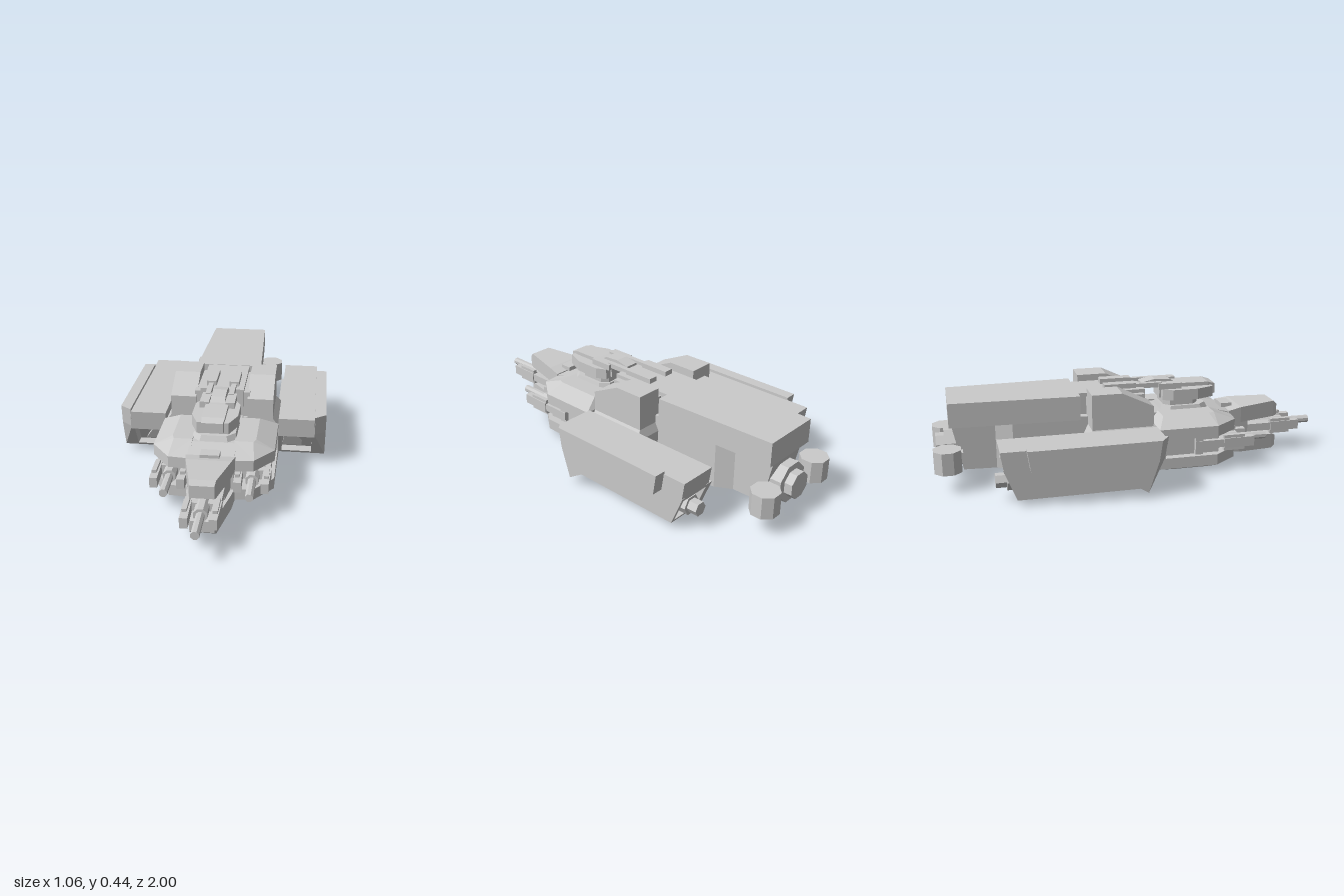
import * as THREE from 'three';

const material = new THREE.MeshStandardMaterial({ color: 0xcccccc, flatShading: true, side: THREE.DoubleSide });

// Solid skin over matching rings of [x, y, z] points, with flat caps
function loft(rings) {
  const out = [], n = rings[0].length;
  const tri = (a, b, c) => out.push(a, b, c);
  for (let r = 0; r + 1 < rings.length; r++) {
    for (let i = 0; i < n; i++) {
      const j = (i + 1) % n, A = rings[r], B = rings[r + 1];
      tri(A[i], A[j], B[j]);
      tri(A[i], B[j], B[i]);
    }
  }
  const last = rings[rings.length - 1];
  const flat = THREE.ShapeUtils.triangulateShape(project(rings[0]), []);
  for (const [a, b, c] of flat) {
    tri(rings[0][c], rings[0][b], rings[0][a]);
    tri(last[a], last[b], last[c]);
  }
  // Turn the faces outward
  const v = out.map(p => new THREE.Vector3(...p));
  let volume = 0;
  for (let i = 0; i < v.length; i += 3) volume += v[i].dot(v[i + 1].clone().cross(v[i + 2]));
  if (volume < 0) for (let i = 0; i < v.length; i += 3) [v[i + 1], v[i + 2]] = [v[i + 2], v[i + 1]];
  const g = new THREE.BufferGeometry().setFromPoints(v);
  g.computeVertexNormals();
  return g;
}

// Drops the axis with the least spread, keeping loop winding counter-clockwise
function project(ring) {
  const spread = k => Math.max(...ring.map(p => p[k])) - Math.min(...ring.map(p => p[k]));
  const s = [0, 1, 2].map(spread), drop = s.indexOf(Math.min(...s));
  const [a, b] = [0, 1, 2].filter(k => k !== drop);
  const pts = ring.map(p => new THREE.Vector2(p[a], p[b]));
  if (THREE.ShapeUtils.isClockWise(pts)) ring.reverseNeeded = true;
  return pts;
}

export function createModel() {
  const ship = new THREE.Group();
  ship.name = 'ship';

  const add = (name, geometry) => {
    const m = new THREE.Mesh(geometry, material);
    m.name = name;
    ship.add(m);
    return m;
  };
  const box = (name, x0, x1, y0, y1, z0, z1) => {
    const m = add(name, new THREE.BoxGeometry(Math.abs(x1 - x0), y1 - y0, Math.abs(z1 - z0)));
    m.position.set((x0 + x1) / 2, (y0 + y1) / 2, (z0 + z1) / 2);
  };
  // Side profile of [z, y] points, spanning x0 to x1
  const slab = (name, x0, x1, pts) => add(name, loft([x0, x1].map(x => pts.map(([z, y]) => [x, y, z]))));
  // Stack of plan outlines: each layer is [y, [[x, z], ...]]
  const stack = (name, layers) => add(name, loft(layers.map(([y, pts]) => pts.map(([x, z]) => [x, y, z]))));
  // Rows of rectangles along z: [z, half width, bottom, top]
  const beam = (name, rows) =>
    add(name, loft(rows.map(([z, w, b, t]) => [[-w, b, z], [w, b, z], [w, t, z], [-w, t, z]])));
  const tube = (name, r, x, y, z0, z1, sides = 8) => {
    const g = new THREE.CylinderGeometry(r, r, Math.abs(z1 - z0), sides);
    g.rotateY(Math.PI / sides).rotateX(Math.PI / 2);
    add(name, g).position.set(x, y, (z0 + z1) / 2);
  };

  // Rear hull: overhanging roof and narrower keel
  beam('rearRoof', [[-0.92, 0.15, 0.29, 0.41], [-0.29, 0.172, 0.29, 0.41]]);
  box('roofNeck', -0.11, 0.11, 0.25, 0.408, -0.3, 0.05);
  beam('rearKeel', [[-0.25, 0.15, 0.055, 0.3], [-0.62, 0.15, 0.055, 0.3], [-0.7, 0.105, 0.055, 0.3]]);
  slab('keelTail', -0.105, 0.105, [[-0.68, 0.055], [-0.86, 0.06], [-0.91, 0.3], [-0.68, 0.3]]);

  // Main engine
  tube('engineFlange', 0.1, 0, 0.155, -0.84, -0.945);
  tube('engineNozzle', 0.067, 0, 0.155, -0.94, -0.985);

  // Middle block with bevelled belly
  const mid = (y, w, z0, z1) => [y, [[-w, z0], [w, z0], [w, z1], [-w, z1]]];
  stack('middleBlock', [mid(0, 0.265, -0.25, 0.055), mid(0.03, 0.29, -0.26, 0.055), mid(0.22, 0.29, -0.27, 0.055),
    mid(0.26, 0.26, -0.25, 0.055)]);
  box('middleNeck', -0.1, 0.1, 0.04, 0.27, 0.04, 0.1);

  // Bow spine, tapering nose and split jaws
  beam('bowSpine', [[0.08, 0.11, 0.03, 0.28], [0.4, 0.11, 0.03, 0.28], [0.52, 0.11, 0.06, 0.25]]);
  beam('noseCore', [[0.48, 0.1, 0.095, 0.2], [0.62, 0.08, 0.1, 0.19]]);
  beam('upperJaw', [[0.5, 0.115, 0.2, 0.26], [0.57, 0.105, 0.19, 0.272], [0.77, 0.06, 0.195, 0.28], [0.79, 0.055, 0.2, 0.26]]);
  beam('lowerJaw', [[0.5, 0.115, 0.04, 0.1], [0.57, 0.105, 0.025, 0.1], [0.77, 0.06, 0.015, 0.095], [0.79, 0.055, 0.03, 0.085]]);
  box('noseHatch', -0.045, 0.045, 0.26, 0.282, 0.48, 0.54);

  // Turret
  const octagon = (w, z0, z1, c) => [[-w + c, z0], [w - c, z0], [w, z0 + c], [w, z1 - c], [w - c, z1], [-w + c, z1], [-w, z1 - c], [-w, z0 + c]];
  stack('turretRing', [[0.27, octagon(0.11, 0.14, 0.4, 0.04)], [0.305, octagon(0.1, 0.15, 0.38, 0.04)]]);
  stack('turretNeck', [[0.3, octagon(0.085, 0.16, 0.34, 0.03)], [0.35, octagon(0.085, 0.16, 0.34, 0.03)]]);
  beam('turretHead', [[0.14, 0.055, 0.34, 0.405], [0.25, 0.055, 0.34, 0.41], [0.4, 0.055, 0.34, 0.408], [0.44, 0.05, 0.345, 0.395]]);
  slab('turretTop', -0.035, 0.035, [[0.24, 0.4], [0.2, 0.43], [0.12, 0.435], [0.05, 0.42], [0.05, 0.4]]);

  // Gun: stepped barrel between two cheek blocks
  const gun = (name, x, z, tip) => {
    const y = 0.145;
    tube(name + 'Barrel', 0.02, x, y, z - 0.1, tip);
    tube(name + 'Collar', 0.033, x, y, z - 0.1, z + 0.07);
    for (const s of [-1, 1]) {
      const c = x + s * 0.067;
      stack(name + 'Cheek', [0.12, 0.17].map(h => [h, [[c - 0.018, z - 0.02], [c + 0.018, z - 0.02],
        [c + 0.018 - s * 0.004, z + 0.14], [c - 0.018 - s * 0.004, z + 0.14]]]));
      box(name + 'CheekRib', c - 0.011, c + 0.011, 0.105, 0.185, z - 0.02, z + 0.09);
    }
    box(name + 'Mount', x - 0.08, x + 0.08, 0.125, 0.165, z - 0.17, z);
  };
  gun('noseGun', 0, 0.77, 1);

  for (const s of [-1, 1]) {
    const side = s > 0 ? 'left' : 'right';
    const X = pts => pts.map(([x, z]) => [s * x, z]);
    gun(side + 'Gun', s * 0.194, 0.44, 0.67);

    // Bow lobes above and below the gun slot
    const edge = X([[0.1, 0.08], [0.29, 0.08], [0.29, 0.38], [0.2, 0.5], [0.1, 0.51]]);
    stack(side + 'UpperLobe', [[0.19, edge], [0.245, edge],
      [0.287, X([[0.1, 0.12], [0.2, 0.12], [0.2, 0.36], [0.19, 0.39], [0.1, 0.39]])]]);
    stack(side + 'LowerLobe', [[0.095, edge], [0.04, edge],
      [0, X([[0.11, 0.19], [0.2, 0.19], [0.2, 0.36], [0.19, 0.385], [0.11, 0.385]])]]);
    box(side + 'LobeCore', s * 0.09, s * 0.25, 0.09, 0.2, 0.09, 0.4);
    box(side + 'LobeVent', s * 0.24, s * 0.27, 0.09, 0.2, 0.27, 0.31);

    // Turret cheeks and rear prongs
    stack(side + 'TurretCheek', [0.335, 0.39].map(y => [y, X([[0.05, 0.15], [0.085, 0.15], [0.11, 0.2], [0.11, 0.33], [0.075, 0.42], [0.05, 0.42]])]));
    box(side + 'Prong', s * 0.033, s * 0.082, 0.405, 0.433, -0.15, 0.01);
    box(side + 'ProngRod', s * 0.045, s * 0.07, 0.4, 0.425, 0, 0.15);
    box(side + 'ProngBase', s * 0.04, s * 0.085, 0.39, 0.42, 0.13, 0.25);

    // Shoulder block with sloping front
    slab(side + 'Shoulder', s * 0.13, s * 0.26, [[0.055, 0.22], [0.055, 0.362], [-0.1, 0.436], [-0.25, 0.436], [-0.25, 0.22]]);
    box(side + 'ShoulderBridge', s * 0.1, s * 0.14, 0.24, 0.39, -0.25, 0.04);

    // Engine pod: roof, walls and floor around a recessed core
    const lower = [[0.055, 0.18], [-0.04, 0.03], [-0.64, 0.03], [-0.7, 0.18]];
    slab(side + 'PodRoof', s * 0.29, s * 0.475, [[0.065, 0.265], [0.055, 0.165], [-0.695, 0.165], [-0.71, 0.265]]);
    slab(side + 'PodInnerWall', s * 0.27, s * 0.305, lower);
    slab(side + 'PodOuterWall', s * 0.46, s * 0.475, lower);
    slab(side + 'PodFloor', s * 0.29, s * 0.475, [[-0.033, 0.042], [-0.04, 0.03], [-0.64, 0.03], [-0.645, 0.042]]);
    slab(side + 'PodCore', s * 0.3, s * 0.465, [[-0.02, 0.18], [-0.1, 0.035], [-0.6, 0.035], [-0.64, 0.18]]);
    add(side + 'IntakeWedge', loft([-0.1, 0.015].map(z => [[s * 0.31, 0.085, z - 0.03], [s * 0.41, 0.085, z - 0.03],
      [s * 0.36, 0.162, z], [s * 0.32, 0.162, z]])));
    tube(side + 'PodFlange', 0.05, s * 0.383, 0.1, -0.6, -0.68, 6);
    tube(side + 'PodNozzle', 0.035, s * 0.383, 0.1, -0.66, -0.73, 6);

    // Outer rail, deep at the front and thin at the back, chamfered outward
    const rail = [[0.07, 0.28], [0.055, 0.18], [-0.04, 0.03], [-0.12, 0.08], [-0.58, 0.18], [-0.595, 0.28]];
    const outer = rail.map(([z, y], i) => [i < 2 ? z - 0.045 : z, y]);
    add(side + 'Rail', loft([rail.map(([z, y]) => [s * 0.472, y, z]), outer.map(([z, y]) => [s * 0.53, y, z])]));

    // Stern thruster drum
    const drum = new THREE.CylinderGeometry(0.07, 0.07, 0.11, 8).rotateY(Math.PI / 8);
    add(side + 'SternDrum', drum).position.set(s * 0.194, 0.148, -0.935);
    box(side + 'DrumStrut', s * 0.06, s * 0.16, 0.13, 0.165, -0.9, -0.86);
  }
  return ship;
}
